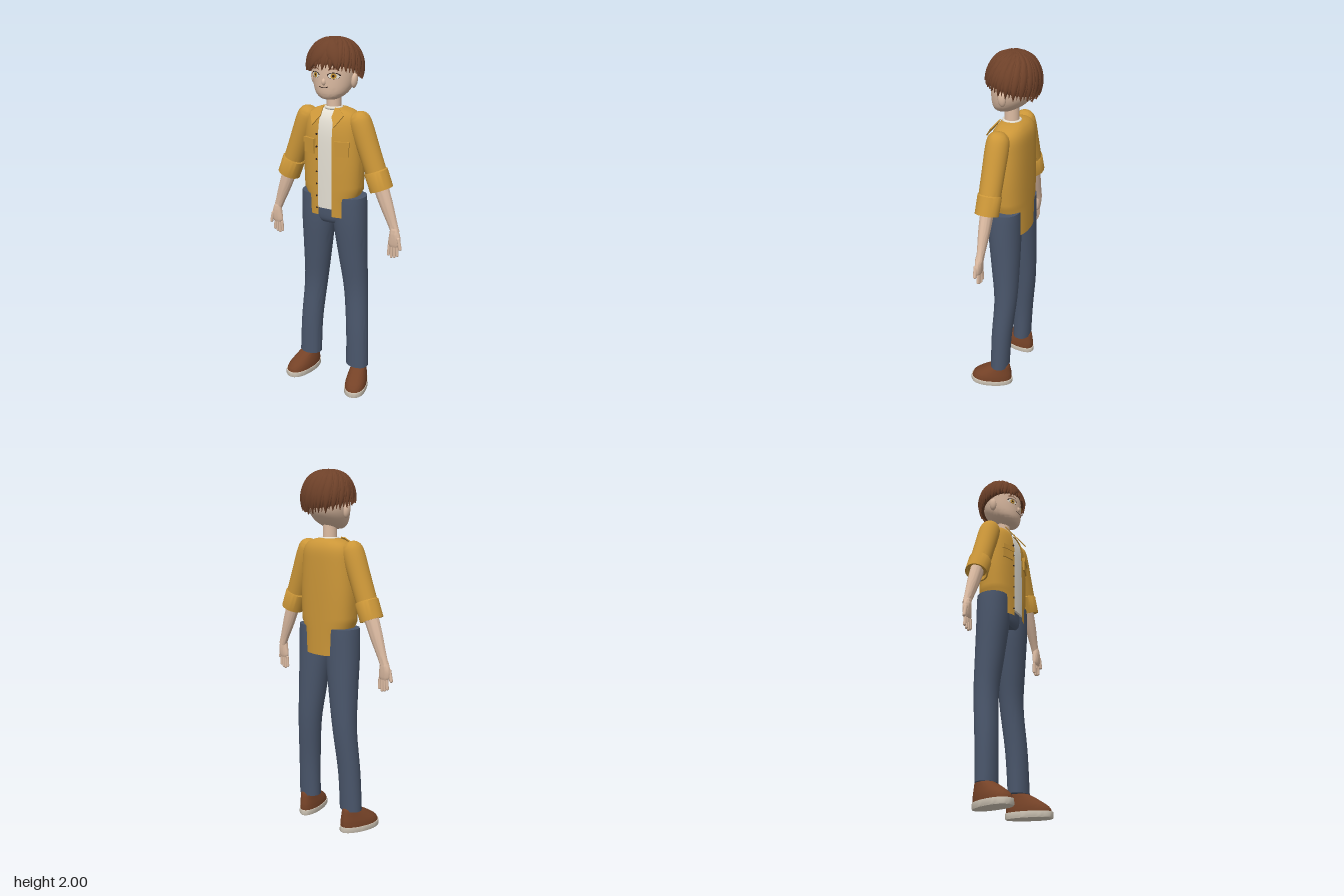
import * as THREE from 'three';
import { toCreasedNormals } from 'three/addons/utils/BufferGeometryUtils.js';

const mat = (name, color, side = THREE.FrontSide) => {
  const m = new THREE.MeshStandardMaterial({ color, side });
  m.name = name;
  return m;
};
const M = {
  skin: mat('skin', 0xdcbba2),
  hair: mat('hair brown', 0x6e4129, THREE.DoubleSide),
  jacket: mat('mustard jacket', 0xcb9638, THREE.DoubleSide),
  shirt: mat('off white', 0xe4dfd3),
  jeans: mat('denim blue', 0x4a566b),
  shoe: mat('shoe brown', 0x754227),
  sole: mat('sole cream', 0xd6ccbc),
  iris: mat('amber iris', 0xc4902f),
  dark: mat('dark lines', 0x2b1d18),
};

const add = (parent, name, geometry, material, x = 0, y = 0, z = 0) => {
  const mesh = new THREE.Mesh(geometry, material);
  mesh.name = name;
  mesh.position.set(x, y, z);
  parent.add(mesh);
  return mesh;
};
const group = (parent, name, x = 0, y = 0, z = 0) => {
  const g = new THREE.Group();
  g.name = name;
  g.position.set(x, y, z);
  parent.add(g);
  return g;
};

// Surface grid from a rule f(i, j) -> [x, y, z]
function grid(nu, nv, f, crease = 0.7) {
  const pos = [], idx = [];
  for (let i = 0; i <= nu; i++) for (let j = 0; j <= nv; j++) pos.push(...f(i, j));
  for (let i = 0; i < nu; i++) for (let j = 0; j < nv; j++) {
    const a = i * (nv + 1) + j, c = a + nv + 1;
    idx.push(a, c, a + 1, a + 1, c, c + 1);
  }
  const g = new THREE.BufferGeometry();
  g.setAttribute('position', new THREE.Float32BufferAttribute(pos, 3));
  g.setIndex(idx);
  return toCreasedNormals(g, crease);
}

// Rows are [cx, y, cz, rx, rz], listed upwards; smooth adds rows between them
function smooth(rows, seg = 4) {
  const out = [], at = (i) => rows[Math.min(Math.max(i, 0), rows.length - 1)];
  for (let i = 0; i < rows.length - 1; i++) for (let k = 0; k < seg; k++) {
    const t = k / seg;
    out.push(rows[i].map((p, c) => {
      const a = at(i - 1)[c], q = at(i + 1)[c], b = at(i + 2)[c];
      const m0 = (q - a) / 2, m1 = (b - p) / 2;
      return (2 * t ** 3 - 3 * t * t + 1) * p + (t ** 3 - 2 * t * t + t) * m0
        + (3 * t * t - 2 * t ** 3) * q + (t ** 3 - t * t) * m1;
    }));
  }
  out.push(rows[rows.length - 1]);
  return out;
}

// Skin over superellipse rows; gap leaves a front opening of that half width
function loft(rows, { p = 2, n = 32, gap = 0, cap = true } = {}) {
  const r = [...rows], e = 1e-4;
  if (cap) {
    const a = r[0], b = r[r.length - 1];
    r.unshift([a[0], a[1], a[2], e, e]);
    r.push([b[0], b[1], b[2], e, e]);
  }
  const pw = (v) => Math.sign(v) * Math.abs(v) ** (2 / p);
  return grid(r.length - 1, n, (i, j) => {
    const [cx, y, cz, rx, rz] = r[i];
    const d = gap ? Math.asin(Math.min(1, (gap / rx) ** (p / 2))) : 0;
    const t = Math.PI / 2 + d + (j / n) * (2 * Math.PI - 2 * d);
    return [cx + rx * pw(Math.cos(t)), y, cz + rz * pw(Math.sin(t))];
  });
}

// Move vertices by a rule
function bend(g, f) {
  const p = g.attributes.position, v = new THREE.Vector3();
  for (let i = 0; i < p.count; i++) {
    f(v.fromBufferAttribute(p, i));
    p.setXYZ(i, v.x, v.y, v.z);
  }
  g.computeVertexNormals();
  return g;
}

function buildTorso(root) {
  const g = group(root, 'upper body');
  const upper = [[0, 1.2, -0.016, 0.168, 0.103], [0, 1.35, -0.016, 0.172, 0.103], [0, 1.5, -0.017, 0.163, 0.1],
    [0, 1.58, -0.021, 0.152, 0.091], [0, 1.62, -0.022, 0.125, 0.073], [0, 1.64, -0.02, 0.075, 0.052]];
  const rows = [[0, 1.043, -0.016, 0.14, 0.102], [0, 1.16, -0.016, 0.145, 0.103], ...smooth(upper),
    [0, 1.643, -0.018, 0.046, 0.042]];
  const jacket = loft(rows, { p: 2.5, n: 48, gap: 0.042, cap: false });
  const p = jacket.attributes.position;
  for (let i = 0; i < p.count; i++) if (p.getY(i) < 1.1) p.setY(i, p.getY(i) + p.getZ(i) * 0.2);
  add(g, 'jacket body', jacket, M.jacket);
  const inner = smooth(upper).map(([x, y, z, rx, rz]) => [x, y - 0.004, z, rx * 0.93, rz - 0.007]);
  add(g, 'shirt', loft([[0, 1.1, -0.016, 0.13, 0.095], ...inner], { p: 2.5 }), M.shirt);
  const band = add(g, 'shirt neckband', new THREE.TorusGeometry(0.042, 0.009, 8, 32), M.shirt, 0, 1.64, -0.012);
  band.rotation.x = Math.PI / 2;
  add(g, 'neck', new THREE.CylinderGeometry(0.037, 0.04, 0.15, 24, 1), M.skin, 0, 1.66, -0.012);

  for (const s of [1, -1]) {
    // Collar flap
    const shape = new THREE.Shape([[0.036, 0.005], [0.062, 0.002], [0.1, -0.035], [0.066, -0.105], [0.034, -0.05]]
      .map(([x, y]) => new THREE.Vector2(x * s, y)));
    const flap = add(g, 'collar flap', new THREE.ExtrudeGeometry(shape, { depth: 0.006, bevelEnabled: false }),
      M.jacket, 0, 1.64, 0.036);
    flap.rotation.x = -0.65;
    // Breast pocket
    const pocket = group(g, 'breast pocket', s * 0.098, 1.44, 0.074);
    pocket.rotation.y = s * 0.33;
    add(pocket, 'pocket pouch', new THREE.BoxGeometry(0.074, 0.08, 0.014), M.jacket);
    add(pocket, 'pocket flap', new THREE.BoxGeometry(0.08, 0.028, 0.022), M.jacket, 0, 0.028, 0);
  }
  for (let i = 0; i < 7; i++) {
    const b = add(g, 'button', new THREE.CylinderGeometry(0.005, 0.005, 0.006, 10), M.dark, -0.05, 1.1 + i * 0.068, 0.084);
    b.rotation.x = Math.PI / 2;
  }
}

function buildArm(root, s) {
  const arm = group(root, s > 0 ? 'left arm' : 'right arm', s * 0.16, 1.575, -0.01);
  const tilt = 0.37;
  arm.rotation.z = s * tilt;
  add(arm, 'sleeve', loft(smooth([[0, -0.3, 0, 0.056, 0.057], [0, -0.15, 0, 0.058, 0.059], [0, -0.02, 0, 0.061, 0.06],
    [0, 0.03, 0, 0.052, 0.051], [0, 0.053, 0, 0.028, 0.027], [0, 0.058, 0, 0.004, 0.004]])), M.jacket);
  add(arm, 'rolled cuff', loft([[0, -0.345, 0, 0.05, 0.05], [0, -0.366, 0, 0.056, 0.056], [0, -0.366, 0, 0.064, 0.062],
    [0, -0.268, 0, 0.064, 0.062], [0, -0.262, 0, 0.058, 0.058]]), M.jacket);
  add(arm, 'forearm', loft(smooth([[0, -0.61, 0, 0.024, 0.019], [0, -0.56, 0, 0.027, 0.021],
    [0, -0.45, 0, 0.037, 0.03], [0, -0.33, 0, 0.043, 0.034]])), M.skin);
  // Hand hangs straight down from the wrist
  const hand = group(arm, 'hand', 0, -0.6, 0.005);
  hand.rotation.z = -s * tilt;
  add(hand, 'palm', loft(smooth([[0, -0.09, 0, 0.026, 0.01], [0, -0.075, 0, 0.034, 0.014], [s * 0.003, -0.04, 0, 0.034, 0.018],
    [0, 0.0, 0, 0.025, 0.019], [-s * 0.003, 0.018, 0, 0.018, 0.016]])), M.skin);
  [0.058, 0.068, 0.072, 0.062].forEach((len, i) => {
    const f = add(hand, 'finger', new THREE.CapsuleGeometry(0.0082, len - 0.01, 4, 10), M.skin,
      s * (0.02 - i * 0.0165), -0.083 - len / 2, 0);
    f.rotation.z = s * (0.08 - i * 0.04);
  });
  const thumb = add(hand, 'thumb', new THREE.CapsuleGeometry(0.0095, 0.055, 4, 10), M.skin, s * 0.034, -0.065, 0.008);
  thumb.rotation.z = s * 0.22;
}

function buildLeg(root, s) {
  const leg = group(root, s > 0 ? 'left leg' : 'right leg');
  const rows = [[0.16, 0.125, -0.012, 0.067, 0.053], [0.153, 0.35, -0.02, 0.065, 0.057], [0.133, 0.6, -0.037, 0.069, 0.063],
    [0.116, 0.8, -0.03, 0.081, 0.075], [0.102, 1.0, -0.02, 0.094, 0.086], [0.1, 1.12, -0.018, 0.093, 0.088],
    [0.1, 1.17, -0.018, 0.09, 0.087]];
  add(leg, 'trouser leg', loft(smooth(rows).map((r) => [r[0] * s, ...r.slice(1)]), { p: 2.15 }), M.jeans);
  // Shoe, toe turned outward and wider at the ball
  const shoe = group(leg, 'shoe', s * 0.172, 0, -0.01);
  shoe.rotation.y = s * 0.27;
  const widen = (v) => { v.x *= 0.95 + v.z * 1.1; };
  const make = (r) => toCreasedNormals(bend(loft(r, { p: 2.2, n: 40 }), widen), 0.7);
  add(shoe, 'sole', make([[0, 0, 0.046, 0.061, 0.124], [0, 0.006, 0.046, 0.064, 0.127], [0, 0.032, 0.046, 0.063, 0.126]]), M.sole);
  add(shoe, 'shoe upper', make(smooth([[0, 0.03, 0.046, 0.06, 0.121], [0, 0.06, 0.038, 0.058, 0.114],
    [0, 0.1, 0.012, 0.049, 0.082], [0, 0.128, -0.01, 0.042, 0.054], [0, 0.14, -0.012, 0.036, 0.044]])), M.shoe);
}

function buildHead(root) {
  const head = group(root, 'head');
  const rows = smooth([[0, 1.688, 0.03, 0.015, 0.015], [0, 1.693, 0.029, 0.045, 0.041], [0, 1.712, 0.017, 0.076, 0.066],
    [0, 1.74, 0, 0.097, 0.089], [0, 1.78, -0.015, 0.111, 0.106], [0, 1.83, -0.022, 0.118, 0.113],
    [0, 1.88, -0.025, 0.119, 0.114], [0, 1.93, -0.025, 0.1, 0.1], [0, 1.965, -0.025, 0.05, 0.05]]);
  add(head, 'face and skull', loft(rows, { n: 48 }), M.skin);
  const nose = add(head, 'nose', new THREE.SphereGeometry(1, 16, 12), M.skin, 0, 1.783, 0.089);
  nose.scale.set(0.011, 0.018, 0.013);

  // Lays a flat geometry onto the face
  const faceZ = (x, y) => {
    const i = rows.findIndex((r) => r[1] > y), a = rows[i - 1], b = rows[i], t = (y - a[1]) / (b[1] - a[1]);
    const [cz, rx, rz] = [2, 3, 4].map((c) => a[c] + (b[c] - a[c]) * t);
    return cz + rz * Math.sqrt(Math.max(0, 1 - (x / rx) ** 2));
  };
  const paint = (name, geo, m, x, y, sy, off) => {
    geo.scale(1, sy, 1);
    geo.translate(x, y, 0);
    add(head, name, bend(geo, (v) => { v.z = faceZ(v.x, v.y) + off; }), m);
  };
  for (const s of [1, -1]) {
    const x = s * 0.053, y = 1.815;
    paint('eye white', new THREE.CircleGeometry(0.028, 28), M.shirt, x, y, 0.5, 0.002);
    paint('iris', new THREE.CircleGeometry(0.0135, 24), M.iris, x, y, 1, 0.0032);
    paint('pupil', new THREE.CircleGeometry(0.006, 16), M.dark, x, y, 1, 0.0044);
    paint('upper lash', new THREE.RingGeometry(0.026, 0.032, 24, 1, 0.1, Math.PI - 0.2), M.dark, x, y, 0.55, 0.005);
    paint('lower lash', new THREE.RingGeometry(0.027, 0.029, 24, 1, Math.PI + 0.2, Math.PI - 0.4), M.dark, x, y, 0.52, 0.004);
    paint('eyebrow', new THREE.RingGeometry(0.038, 0.043, 20, 1, 0.9, 1.35), M.hair, x, y - 0.002, 0.95, 0.004);
    const ear = add(head, 'ear', new THREE.SphereGeometry(1, 20, 16), M.skin, s * 0.12, 1.787, -0.014);
    ear.scale.set(0.016, 0.039, 0.021);
    ear.rotation.z = -s * 0.12;
  }
  paint('mouth', new THREE.RingGeometry(0.058, 0.0615, 20, 1, Math.PI * 1.5 - 0.45, 0.9), M.dark, 0, 1.814, 1, 0.003);
  buildHair(head);
}

function buildHair(head) {
  const hair = group(head, 'hair', 0, 1.85, -0.025);
  const [rx, ry, rz] = [0.147, 0.148, 0.131];
  const end = (az, dy) => Math.acos((-0.03 + 0.037 * Math.cos(az) + dy) / ry);
  const point = (az, th, k) => [rx * k * Math.sin(az) * Math.sin(th), ry * k * Math.cos(th),
    rz * k * Math.cos(az) * Math.sin(th)];
  // Cap with its rim turned in to the skull
  add(hair, 'hair cap', grid(18, 48, (i, j) => {
    const az = (j / 48) * Math.PI * 2, q = point(az, end(az, 0.016) * Math.min(1, i / 17), 1);
    return i === 18 ? [q[0] * 0.77, q[1], q[2] * 0.77] : q;
  }), M.hair);
  // Pointed lock swirling out from the crown
  const lock = (az, w, swirl, lift, dy) => add(hair, 'hair lock', grid(16, 8, (i, j) => {
    const u = i / 16, v = j / 4 - 1;
    const width = w * (u < 0.6 ? 1 : 1 - ((u - 0.6) / 0.4) ** 1.7);
    const k = 0.985 + (0.015 + lift * (1 - v * v)) * Math.min(1, u * 2.5);
    return point(az + swirl * (1 - u) ** 1.5 + v * width, u * end(az, dy), k);
  }, 1), M.hair);
  let seed = 7;
  const rand = () => (seed = (seed * 16807) % 2147483647) / 2147483647;
  const n = 22;
  for (let i = 0; i < n; i++) {
    const az = (i / n) * Math.PI * 2;
    lock(az, 0.2, 0.5, 0.05 + rand() * 0.025, -0.004 - rand() * 0.012);
    lock(az + 0.14, 0.12, 0.5, 0.035 + rand() * 0.03, -rand() * 0.01);
  }
  // Broad fringe sweeps
  lock(-0.45, 0.5, 1.0, 0.085, -0.004);
  lock(0.5, 0.42, -0.5, 0.095, 0.002);
}

export function createModel() {
  const root = new THREE.Group();
  root.name = 'young man';
  buildTorso(root);
  buildHead(root);
  add(root, 'trouser hips', loft(smooth([[0, 1.01, -0.018, 0.1, 0.066], [0, 1.04, -0.018, 0.14, 0.08],
    [0, 1.13, -0.018, 0.14, 0.084]]), { p: 2.4 }), M.jeans);
  for (const s of [1, -1]) {
    buildArm(root, s);
    buildLeg(root, s);
  }
  return root;
}
